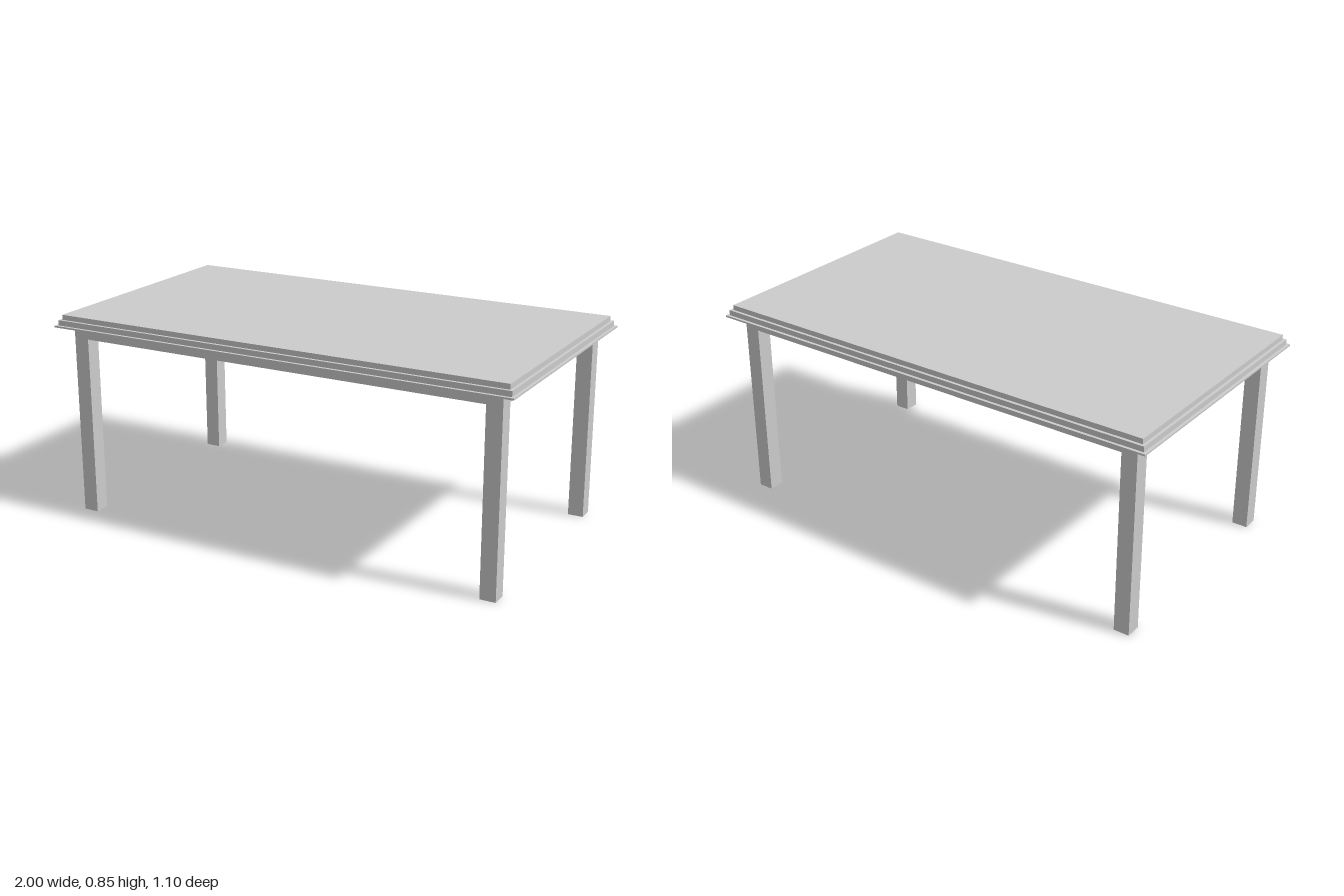
import * as THREE from 'three';

export function createModel() {
  const table = new THREE.Group();
  table.name = 'table';
  const material = new THREE.MeshStandardMaterial({ color: 0xcccccc, flatShading: true });

  // Box given by its centre in plan, its bottom and its top
  function box(name, width, depth, bottom, top, x = 0, z = 0) {
    const mesh = new THREE.Mesh(new THREE.BoxGeometry(width, top - bottom, depth), material);
    mesh.name = name;
    mesh.position.set(x, (bottom + top) / 2, z);
    table.add(mesh);
  }

  // Stepped table top, each layer a little smaller than the one below
  box('topLowerLip', 2, 1.104, 0.8, 0.807);
  box('topMiddleStep', 1.976, 1.08, 0.807, 0.829);
  box('topBoard', 1.952, 1.056, 0.829, 0.85);

  const outerX = 0.94, outerZ = 0.498; // outer faces of the legs
  const leg = 0.065, rail = 0.04;
  const railBottom = 0.752, underside = 0.8;

  for (const s of [1, -1]) {
    // Square legs
    for (const t of [1, -1]) {
      const name = (t > 0 ? 'front' : 'back') + (s > 0 ? 'Left' : 'Right') + 'Leg';
      box(name, leg, leg, 0, underside, s * (outerX - leg / 2), t * (outerZ - leg / 2));
    }
    // Apron rails between the legs, flush with their outer faces
    box(s > 0 ? 'frontApron' : 'backApron', 2 * (outerX - leg), rail,
      railBottom, underside, 0, s * (outerZ - rail / 2));
    box(s > 0 ? 'leftApron' : 'rightApron', rail, 2 * (outerZ - leg),
      railBottom, underside, s * (outerX - rail / 2), 0);
  }
  return table;
}
